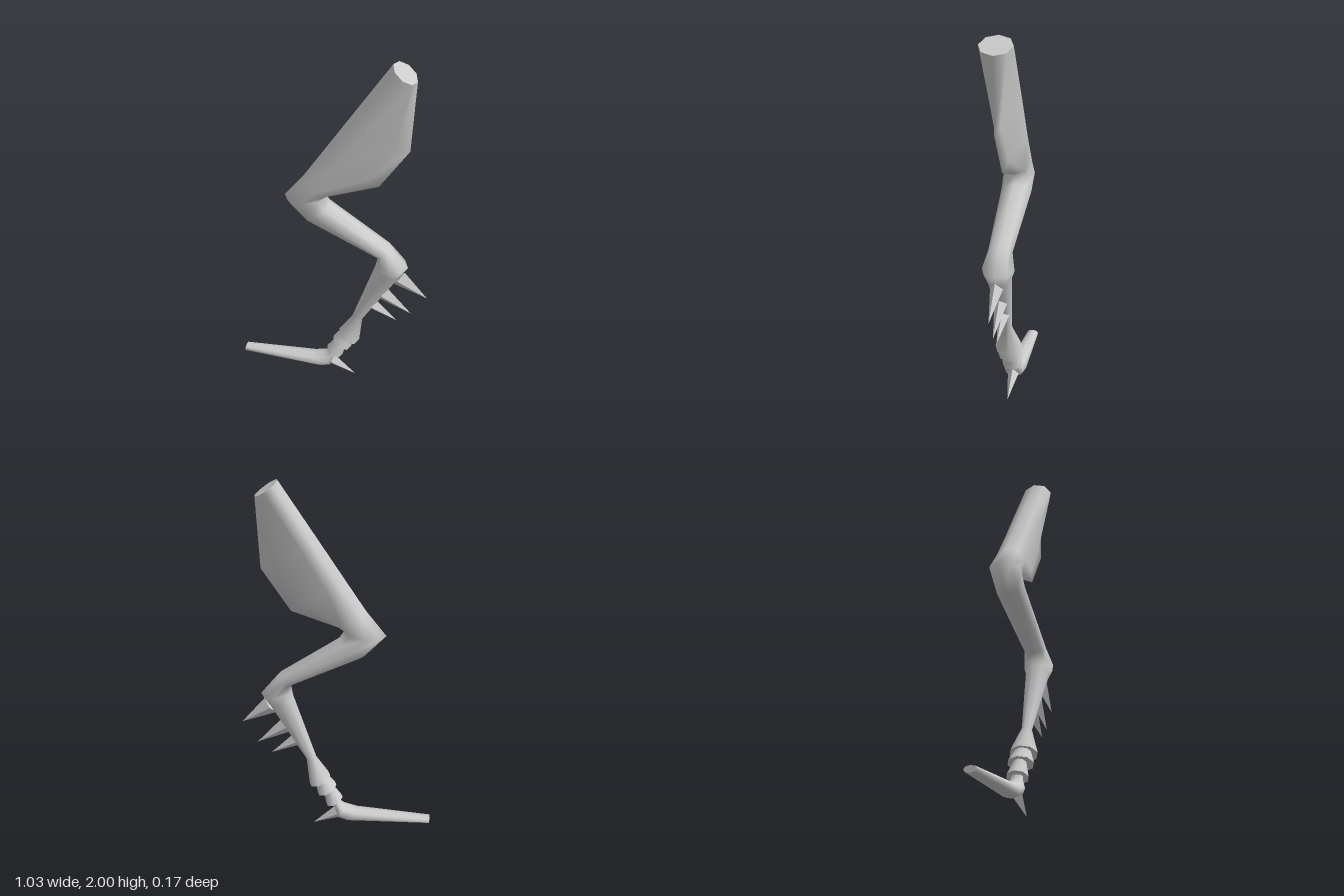
import * as THREE from 'three';

// Skin through cross-sections. Each section is
// [ax, ay, bx, by, halfDepth, mid, pinch]: it spans from point A to point B,
// is widest at fraction mid, and pinch narrows its B side into a ridge.
function loft(name, sections, sides = 8, flat = false) {
  const pos = [], index = [];
  const addRing = ([ax, ay, bx, by, w, mid = 0.5, pinch = 1]) => {
    const start = pos.length / 3;
    for (let j = 0; j < sides; j++) {
      const t = (j / sides) * Math.PI * 2, c = Math.cos(t);
      const u = c > 0 ? mid * (1 - c) : mid - (1 - mid) * c;
      const z = w * Math.sin(t) * (c < -0.01 ? pinch : 1);
      pos.push(ax + (bx - ax) * u, ay + (by - ay) * u, z);
    }
    return start;
  };
  const rings = sections.map(addRing);
  for (let i = 0; i < rings.length - 1; i++) {
    for (let j = 0; j < sides; j++) {
      const k = (j + 1) % sides;
      const a = rings[i] + j, b = rings[i] + k, c = rings[i + 1] + j, d = rings[i + 1] + k;
      index.push(a, c, b, b, c, d);
    }
  }
  // Separate cap rings keep the end edges sharp
  const first = addRing(sections[0]);
  const last = addRing(sections[sections.length - 1]);
  for (let j = 1; j < sides - 1; j++) {
    index.push(first, first + j, first + j + 1, last, last + j + 1, last + j);
  }
  let geo = new THREE.BufferGeometry();
  geo.setAttribute('position', new THREE.Float32BufferAttribute(pos, 3));
  geo.setIndex(index);
  if (flat) geo = geo.toNonIndexed();
  geo.computeVertexNormals();
  const mesh = new THREE.Mesh(geo, new THREE.MeshStandardMaterial({ color: 0xcccccc, flatShading: flat }));
  mesh.name = name;
  return mesh;
}

export function createModel() {
  const leg = new THREE.Group();
  leg.name = 'insectLeg';

  // Thigh with rear ridge, knee, shin, second knee and flared lower shin
  leg.add(loft('upperLeg', [
    [0.28, 2.0, 0.395, 1.925, 0.083],
    [0.085, 1.7, 0.38, 1.555, 0.083, 0.24, 0.2],
    [-0.03, 1.522, 0.235, 1.33, 0.083, 0.27, 0.35],
    [-0.145, 1.345, -0.01, 1.245, 0.083, 0.5, 0.9],
    [-0.25, 1.21, -0.035, 1.23, 0.083],
    [-0.14, 1.09, -0.01, 1.19, 0.08],
    [0.245, 0.905, 0.305, 0.97, 0.062],
    [0.24, 0.87, 0.405, 0.845, 0.083],
    [0.235, 0.84, 0.365, 0.78, 0.064],
    [0.115, 0.455, 0.17, 0.44, 0.027],
    [0.04, 0.335, 0.155, 0.28, 0.075],
  ]));

  // Overlapping ankle cuffs
  const cuffs = [
    [[0.07, 0.35, 0.12, 0.325, 0.035], [0.005, 0.272, 0.112, 0.222, 0.07]],
    [[0.03, 0.275, 0.08, 0.25, 0.03], [-0.03, 0.192, 0.062, 0.145, 0.058]],
  ];
  cuffs.forEach((sections, i) => leg.add(loft('ankleCuff' + (i + 1), sections)));

  // Foot bending forward into a long toe
  leg.add(loft('foot', [
    [-0.002, 0.19, 0.035, 0.175, 0.03],
    [-0.012, 0.16, 0.017, 0.135, 0.035],
    [-0.045, 0.135, 0.0, 0.07, 0.055],
    [-0.12, 0.115, -0.05, 0.05, 0.055],
    [-0.52, 0.09, -0.52, 0.055, 0.033],
  ]));

  // Four-sided spikes: base points A and B, then the tip
  const spikes = [
    ['shinSpike1', 0.325, 0.73, 0.39, 0.812, 0.515, 0.66],
    ['shinSpike2', 0.25, 0.612, 0.3, 0.69, 0.435, 0.535],
    ['shinSpike3', 0.2, 0.53, 0.235, 0.6, 0.36, 0.47],
    ['heelSpur', -0.025, 0.055, 0.0, 0.14, 0.135, 0.003],
  ];
  for (const [name, ax, ay, bx, by, tx, ty] of spikes) {
    leg.add(loft(name, [[ax, ay, bx, by, 0.033], [tx, ty, tx, ty + 0.001, 0.0005]], 4, true));
  }
  return leg;
}
